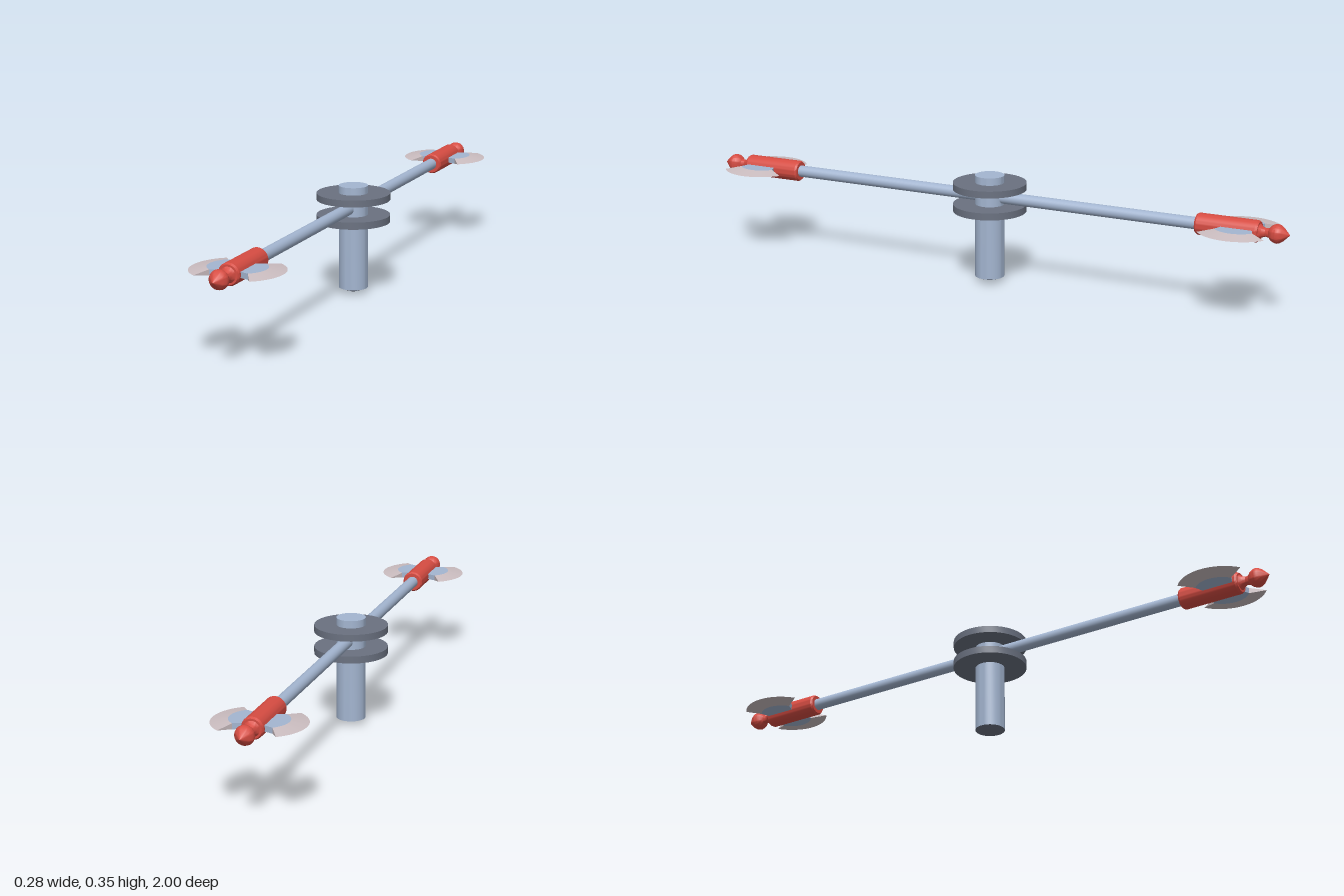
import * as THREE from 'three';
import { toCreasedNormals } from 'three/addons/utils/BufferGeometryUtils.js';

const material = (name, color, side = THREE.FrontSide) => {
  const m = new THREE.MeshStandardMaterial({ color, side });
  m.name = name;
  return m;
};

const AXIS_Y = 0.283;

function mesh(name, geometry, mat) {
  const m = new THREE.Mesh(geometry, mat);
  m.name = name;
  return m;
}

// Turned part from [radius, height] pairs, with sharp edges kept
function turned(name, profile, mat) {
  const points = profile.map(([r, y]) => new THREE.Vector2(r, y));
  return mesh(name, toCreasedNormals(new THREE.LatheGeometry(points, 40), 0.5), mat);
}

// Collects quads and triangles into a faceted geometry
function faceBuilder() {
  const pos = [];
  const tri = (a, b, c) => pos.push(...a, ...b, ...c);
  const quad = (a, b, c, d) => { tri(a, b, c); tri(a, c, d); };
  const build = () => {
    const g = new THREE.BufferGeometry();
    g.setAttribute('position', new THREE.Float32BufferAttribute(pos, 3));
    g.computeVertexNormals();
    return toCreasedNormals(g, 0.4);
  };
  return { tri, quad, build };
}

// One crescent blade pointing along +x: flat cheek plus a bevel down to the edge
function createBlade(steel, edge) {
  const h = 0.009, steps = 20;
  const inner = (u, s) => [0.02, s * h, 0.045 * u];
  const ridge = (u, s) => [0.015 + 0.075 * Math.cos(0.927 * u), s * h, 0.075 * Math.sin(0.927 * u)];
  const rim = (u) => [0.0124 + 0.1296 * Math.cos(0.958 * u), 0, 0.1296 * Math.sin(0.958 * u)];
  const cheek = faceBuilder(), bevel = faceBuilder();
  for (let i = 0; i < steps; i++) {
    const a = -1 + 2 * i / steps, b = -1 + 2 * (i + 1) / steps;
    cheek.quad(inner(a, 1), inner(b, 1), ridge(b, 1), ridge(a, 1));
    cheek.quad(inner(a, -1), ridge(a, -1), ridge(b, -1), inner(b, -1));
    bevel.quad(ridge(a, 1), ridge(b, 1), rim(b), rim(a));
    bevel.quad(ridge(a, -1), rim(a), rim(b), ridge(b, -1));
  }
  // End walls
  cheek.quad(inner(1, -1), ridge(1, -1), ridge(1, 1), inner(1, 1));
  cheek.quad(inner(-1, 1), ridge(-1, 1), ridge(-1, -1), inner(-1, -1));
  bevel.tri(ridge(1, -1), rim(1), ridge(1, 1));
  bevel.tri(ridge(-1, 1), rim(-1), ridge(-1, -1));
  const blade = new THREE.Group();
  blade.name = 'axeBlade';
  blade.add(mesh('bladeCheek', cheek.build(), steel), mesh('bladeEdge', bevel.build(), edge));
  return blade;
}

// Axe head on the +z end of the bar
function createAxeHead(steel, edge, red) {
  const head = new THREE.Group();
  head.name = 'axeHead';
  const sleeve = turned('sleeve', [
    [0, 0.705], [0.03, 0.705], [0.034, 0.711], [0.034, 0.898], [0.03, 0.905], [0, 0.905],
  ], red);
  const finial = turned('finial', [
    [0.024, 0.905], [0.017, 0.913], [0.013, 0.924], [0.015, 0.935], [0.023, 0.942],
    [0.028, 0.951], [0.03, 0.96], [0.028, 0.968], [0.022, 0.978], [0, 1],
  ], red);
  for (const part of [sleeve, finial]) {
    part.rotation.x = Math.PI / 2;
    head.add(part);
  }
  for (const turn of [0, Math.PI]) {
    const blade = createBlade(steel, edge);
    blade.position.z = 0.841;
    blade.rotation.y = turn;
    head.add(blade);
  }
  return head;
}

export function createModel() {
  const steel = material('steel', 0xa3b5d0);
  const darkSteel = material('darkSteel', 0x6a7180);
  const edge = material('bladeEdge', 0xcbbdc0);
  const red = material('red', 0xd64c42);

  const model = new THREE.Group();
  model.name = 'spinningDoubleAxe';

  // Central post with a pointed foot
  model.add(turned('post', [[0.047, 0.017], [0.047, 0.353], [0, 0.353]], steel));
  model.add(turned('postPoint', [[0, 0], [0.047, 0.017]], darkSteel));

  // Two discs clamping the bar
  for (const [name, y0, y1] of [['lowerDisc', 0.235, 0.258], ['upperDisc', 0.307, 0.329]]) {
    model.add(turned(name, [[0, y0], [0.118, y0], [0.118, y1], [0, y1]], darkSteel));
  }

  // Long bar
  const bar = mesh('bar', new THREE.CylinderGeometry(0.019, 0.019, 1.44, 32), steel);
  bar.rotation.x = Math.PI / 2;
  bar.position.y = AXIS_Y;
  model.add(bar);

  // Matching axe heads at both ends
  for (const turn of [0, Math.PI]) {
    const head = createAxeHead(steel, edge, red);
    head.position.y = AXIS_Y;
    head.rotation.y = turn;
    model.add(head);
  }
  return model;
}
